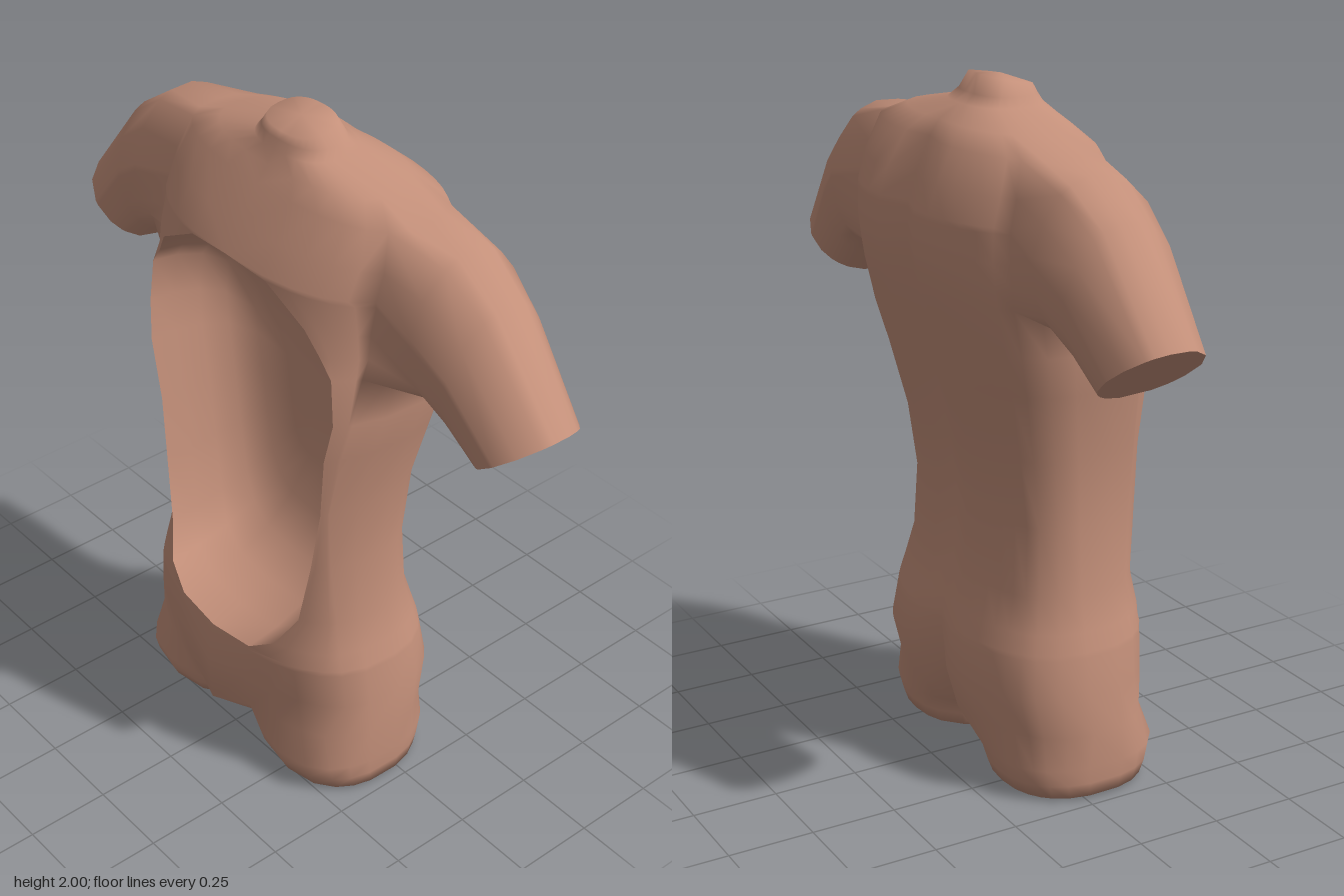
import * as THREE from 'three';
import { mergeGeometries, mergeVertices } from 'three/addons/utils/BufferGeometryUtils.js';

const V = (x, y, z) => new THREE.Vector3(x, y, z);
const POW = 0.8;        // squareness of the torso sections
const COLS = 16;        // columns per half section, front to back
const ARM_COLS = [5, 9];
const ARM_ROWS = [10, 16];

// Torso sections: y, half width, front z, back z, z of widest point, half width of opening, spine groove
const ROWS = [
  [0.20, 0.475, 0.305, -0.225, 0.04, 0, 0.07],
  [0.32, 0.467, 0.318, -0.26, 0.03, 0, 0.06],
  [0.43, 0.450, 0.325, -0.24, 0.03, 0, 0.03],
  [0.445, 0.447, 0.315, -0.238, 0.03, 0.155, 0.03],
  [0.50, 0.432, 0.29, -0.22, 0.03, 0.24, 0.02],
  [0.60, 0.407, 0.245, -0.19, 0.03, 0.295, 0.02],
  [0.80, 0.395, 0.23, -0.178, 0.03, 0.33, 0.025],
  [1.00, 0.402, 0.22, -0.21, 0.02, 0.358, 0.03],
  [1.20, 0.440, 0.23, -0.26, -0.01, 0.382, 0.035],
  [1.32, 0.465, 0.215, -0.295, -0.03, 0.40, 0.04],
  [1.455, 0.470, 0.21, -0.327, -0.05, 0.385, 0.045],
  [1.51, 0.470, 0.215, -0.337, -0.05, 0.345, 0.045],
  [1.58, 0.470, 0.23, -0.347, -0.05, 0.30, 0.045],
  [1.66, 0.470, 0.24, -0.345, -0.05, 0.155, 0.045],
  [1.675, 0.470, 0.25, -0.342, -0.05, 0, 0.045],
  [1.75, 0.470, 0.20, -0.315, -0.05, 0, 0.04],
  [1.845, 0.440, 0.14, -0.26, -0.06, 0, 0.03],
  [1.888, 0.325, 0.105, -0.21, -0.05, 0, 0.01],
  [1.925, 0.150, 0.085, -0.14, -0.03, 0, 0],
  [1.95, 0.127, 0.07, -0.11, -0.02, 0, 0],
  [1.985, 0.105, 0.06, -0.085, -0.01, 0, 0],
];

// Half section from the front (or the edge of the opening) round the side to the back
function section([y, w, zf, zb, zc, xe, groove], row) {
  const a0 = Math.asin(Math.pow(xe / w, 1 / POW));
  const radius = (zf - zc) / Math.pow(Math.cos(a0), POW);
  const [c0, c1] = ARM_COLS, af = 1.12, ab = 2.1, lerp = THREE.MathUtils.lerp;
  return Array.from({ length: COLS + 1 }, (_, j) => {
    const a = j <= c0 ? lerp(a0, af, j / c0)
      : j <= c1 ? lerp(af, ab, (j - c0) / (c1 - c0))
      : lerp(ab, Math.PI, (j - c1) / (COLS - c1));
    const x = j === COLS ? 0 : w * Math.pow(Math.sin(a), POW);
    const c = Math.cos(a), k = Math.pow(Math.abs(c), POW);
    let z = c > 0 ? zc + radius * k : zc + (zb - zc) * k;
    if (c < 0) z += groove * Math.exp(-((x / 0.07) ** 2));
    else if (row < 2) z += 0.03 * Math.exp(-((x / 0.1) ** 2));  // swell above the crotch
    let py = y;
    if (row === 0) py -= 0.05 * Math.exp(-((x / 0.08) ** 2));   // dip to the crotch
    if (row === ROWS.length - 1) py += 0.015 * -c;              // neck cut slopes forward
    return V(x, py, z);
  });
}

function geometry(points, index) {
  const g = new THREE.BufferGeometry().setFromPoints(points);
  g.setIndex(index);
  return g;
}

// Skin between successive rings of points
function loft(rings, closed, skip = () => false) {
  const n = rings[0].length, index = [];
  for (let i = 0; i < rings.length - 1; i++) {
    for (let j = 0; j < (closed ? n : n - 1); j++) {
      if (skip(i, j)) continue;
      const k = (j + 1) % n, a = i * n + j, b = i * n + k;
      index.push(a, b, b + n, a, b + n, a + n);
    }
  }
  return geometry(rings.flat(), index);
}

// Fan that closes a loop
function cap(loop, centre) {
  const n = loop.length, index = [];
  for (let j = 0; j < n; j++) index.push(n, j, (j + 1) % n);
  return geometry([...loop, centre], index);
}

// Mirrored copy across x = 0 with the corners reversed
function mirrored(g) {
  const m = g.clone().scale(-1, 1, 1), ix = m.index.array;
  for (let i = 0; i < ix.length; i += 3) [ix[i + 1], ix[i + 2]] = [ix[i + 2], ix[i + 1]];
  return m;
}

function smooth(parts) {
  const g = mergeVertices(mergeGeometries(parts), 1e-4);
  g.computeVertexNormals();
  return g;
}

const bothSides = (parts) => smooth([...parts, ...parts.map(mirrored)]);
const average = (pts) => pts.reduce((s, p) => s.add(p), V(0, 0, 0)).divideScalar(pts.length);

export function createModel() {
  const skin = new THREE.MeshStandardMaterial({ color: 0xc4907a });
  skin.name = 'skin';
  const model = new THREE.Group();
  model.name = 'torso';
  const add = (name, g) => {
    const mesh = new THREE.Mesh(g, skin);
    mesh.name = name;
    model.add(mesh);
  };

  // Trunk with an armhole left in its side
  const rows = ROWS.map(section);
  const [r0, r1] = ARM_ROWS, [c0, c1] = ARM_COLS;
  const trunk = loft(rows, false, (i, j) => i >= r0 && i < r1 && j >= c0 && j < c1);
  const neckEnd = cap(rows[rows.length - 1], V(0, 1.995, -0.01));

  // Arm grows from the armhole edge
  const hole = [];
  for (let j = c0; j < c1; j++) hole.push(rows[r0][j]);
  for (let i = r0; i < r1; i++) hole.push(rows[i][c1]);
  for (let j = c1; j > c0; j--) hole.push(rows[r1][j]);
  for (let i = r1; i > r0; i--) hole.push(rows[i][c0]);
  // top x, top y, bottom x, bottom y, half depth, centre z
  const armRings = [
    [0.59, 1.835, 0.57, 1.388, 0.188, -0.065],
    [0.73, 1.74, 0.645, 1.338, 0.165, -0.062],
    [0.955, 1.465, 0.72, 1.285, 0.14, -0.06],
  ].map(([tx, ty, bx, by, hz, cz]) => hole.map((p) => {
    const a = Math.atan2((p.z + 0.045) / 0.18, (p.y - 1.65) / 0.195);
    const c = Math.cos(a) / 2;
    return V((tx + bx) / 2 + (tx - bx) * c, (ty + by) / 2 + (ty - by) * c, cz + hz * Math.sin(a));
  }));
  const arm = loft([hole, ...armRings], true);

  // Leg grows from half of the hip section closed by the crotch line
  const front = rows[0][0], back = rows[0][COLS];
  const crotch = [1, 2, 3, 4, 5].map((i) => {
    const p = back.clone().lerp(front, i / 6);
    p.y = 0.14;
    return p;
  });
  const hip = [...rows[0], ...crotch].reverse();
  // y, inner x, outer x, front z, back z
  const legRings = [
    [0.10, 0.045, 0.475, 0.30, -0.19],
    [0.05, 0.052, 0.474, 0.285, -0.175],
    [0.01, 0.06, 0.47, 0.265, -0.16],
  ].map(([y, xi, xo, zf, zb]) => hip.map((p) => {
    const a = Math.atan2((p.z - 0.06) / 0.28, (p.x - 0.24) / 0.24);
    const bulge = (t) => Math.sign(t) * Math.pow(Math.abs(t), 0.85);
    return V((xi + xo) / 2 + (xo - xi) / 2 * bulge(Math.cos(a)), y,
      (zf + zb) / 2 + (zf - zb) / 2 * bulge(Math.sin(a)));
  }));
  const leg = loft([hip, ...legRings], true);
  const legCentre = average(legRings[2]);
  legCentre.y = 0;
  const legEnd = cap(legRings[2], legCentre);
  add('body', bothSides([trunk, neckEnd, arm, leg, legEnd]));

  // Flat cut arm ends
  add('armEnds', bothSides([cap(armRings[2], average(armRings[2]))]));

  // Rounded hollow behind the front opening
  const edge = rows.slice(2, 15).map((r) => r[0]);
  const rim = [...edge, ...edge.slice(1, -1).reverse().map((p) => V(-p.x, p.y, p.z))];
  const midY = 1.05, floorZ = -0.11;
  // width scale, height scale, depth
  const bowl = [
    [1, 1, 0], [0.99, 0.975, 0.25], [0.96, 0.92, 0.5], [0.89, 0.82, 0.73],
    [0.72, 0.64, 0.9], [0.47, 0.4, 0.98], [0.2, 0.18, 1],
  ].map(([sx, sy, d]) => rim.map((p) =>
    V(p.x * sx, midY + (p.y - midY) * sy, THREE.MathUtils.lerp(p.z, floorZ, d))));
  add('hollow', smooth([loft(bowl, true), cap(bowl[6], V(0, midY, floorZ))]));
  return model;
}
